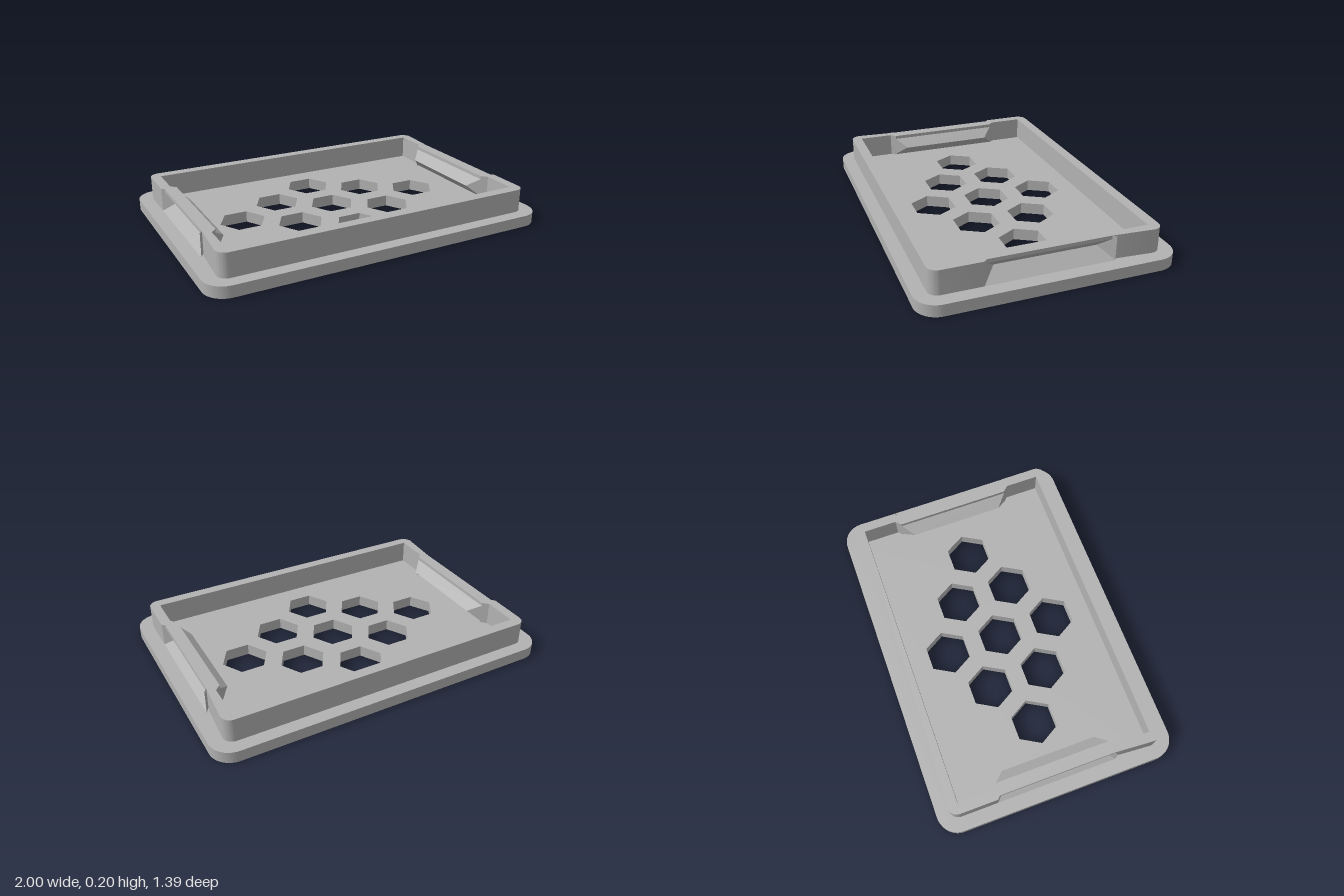
import * as THREE from 'three';
import { toCreasedNormals } from 'three/addons/utils/BufferGeometryUtils.js';

const FLOOR = 0.065, TOP = 0.2;

// Extrude a plan shape upward from y0 to y1
function slab(shape, y0, y1) {
  const g = new THREE.ExtrudeGeometry(shape, { depth: y1 - y0, bevelEnabled: false, curveSegments: 10 });
  g.rotateX(-Math.PI / 2).translate(0, y0, 0);
  return toCreasedNormals(g, 0.5);
}

function roundedRect(w, d, r) {
  const s = new THREE.Shape();
  s.absarc(w - r, d - r, r, 0, Math.PI / 2);
  s.absarc(r - w, d - r, r, Math.PI / 2, Math.PI);
  s.absarc(r - w, r - d, r, Math.PI, Math.PI * 1.5);
  s.absarc(w - r, r - d, r, Math.PI * 1.5, Math.PI * 2);
  s.closePath();
  return s;
}

// Base plate with hexagonal vents
function plateGeometry() {
  const shape = roundedRect(1, 0.693, 0.12);
  const centres = [[0, 0], [0, 0.327], [0, -0.327], [0.565, 0], [-0.565, 0]];
  for (const x of [-0.283, 0.283]) for (const z of [-0.163, 0.163]) centres.push([x, z]);
  for (const [cx, cz] of centres) {
    const pts = [];
    for (let i = 0; i < 6; i++) {
      const a = -i * Math.PI / 3;
      pts.push(new THREE.Vector2(cx + 0.132 * Math.cos(a), cz + 0.132 * Math.sin(a)));
    }
    shape.holes.push(new THREE.Path(pts));
  }
  return slab(shape, 0, FLOOR);
}

// Half of the raised rim: one long wall and two corners
function wallGeometry() {
  const s = new THREE.Shape();
  s.moveTo(0.922, 0.35);
  s.absarc(0.867, 0.565, 0.055, 0, Math.PI / 2);
  s.absarc(-0.867, 0.565, 0.055, Math.PI / 2, Math.PI);
  const inner = [[-0.922, 0.35], [-0.905, 0.333], [-0.835, 0.335], [-0.865, 0.365], [-0.865, 0.56],
    [0.865, 0.56], [0.865, 0.365], [0.835, 0.335], [0.905, 0.333]];
  for (const [x, z] of inner) s.lineTo(x, z);
  s.closePath();
  return slab(s, FLOOR, TOP);
}

// Latch cross-section in x and y; ends follow the 45 degree rule z = x - offset
const OUT = 0.572, IN = 0.5;
const outerProfile = [[0.922, FLOOR], [0.85, 0.13], [0.905, 0.18], [0.905, TOP]];
const innerProfile = [[0.835, TOP], [0.835, 0.18], [0.775, 0.13], [0.847, FLOOR]];

function latchBandGeometry() {
  const pts = [...outerProfile.map(([x, y]) => [x, y, x - OUT]),
    ...innerProfile.map(([x, y]) => [x, y, x - IN])];
  const pos = [];
  for (let i = 0; i + 1 < pts.length; i++) {
    const [ax, ay, az] = pts[i], [bx, by, bz] = pts[i + 1];
    pos.push(ax, ay, az, ax, ay, -az, bx, by, -bz, ax, ay, az, bx, by, -bz, bx, by, bz);
  }
  const g = new THREE.BufferGeometry();
  g.setAttribute('position', new THREE.Float32BufferAttribute(pos, 3));
  g.computeVertexNormals();
  return g;
}

// Vertical 45 degree face closing one end of the latch
function latchEndGeometry(points, offset, side) {
  const shape = new THREE.Shape(points.map(([x, y]) => new THREE.Vector2(x, y)));
  const g = new THREE.ShapeGeometry(shape).toNonIndexed();
  const p = g.attributes.position;
  for (let i = 0; i < p.count; i++) p.setZ(i, side * (p.getX(i) - offset));
  g.computeVertexNormals();
  return g;
}

export function createModel() {
  const grey = new THREE.MeshStandardMaterial({ color: 0xb2b2b2, side: THREE.DoubleSide });
  grey.name = 'grey plastic';
  const model = new THREE.Group();
  model.name = 'ventedCover';
  const add = (parent, geometry, name) => {
    const mesh = new THREE.Mesh(geometry, grey);
    mesh.name = name;
    parent.add(mesh);
    return mesh;
  };

  add(model, plateGeometry(), 'basePlate');

  const wall = wallGeometry();
  add(model, wall, 'backWall');
  add(model, wall, 'frontWall').rotation.y = Math.PI;

  // Bent snap latches in the short sides
  for (const [name, turn] of [['leftLatch', 0], ['rightLatch', Math.PI]]) {
    const latch = new THREE.Group();
    latch.name = name;
    latch.rotation.y = turn;
    add(latch, latchBandGeometry(), 'latchBand');
    for (const side of [-1, 1]) {
      add(latch, latchEndGeometry([...outerProfile, [0.922, TOP]], OUT, side), 'grooveEnd');
      add(latch, latchEndGeometry([...innerProfile, [0.865, FLOOR], [0.865, TOP]], IN, side), 'ridgeEnd');
    }
    model.add(latch);
  }
  return model;
}
